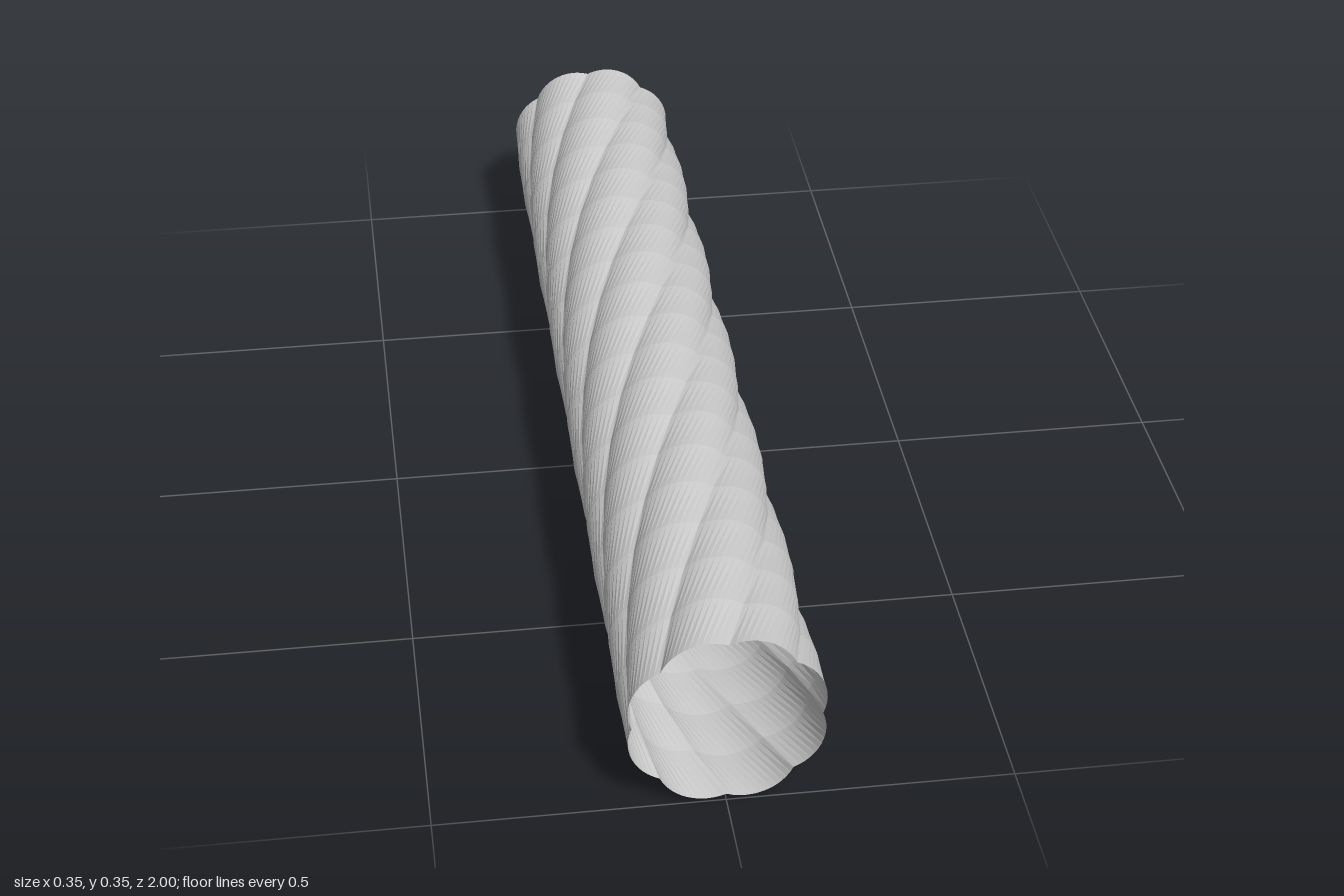
import * as THREE from 'three';

const LOBES = 8;
const OUTER = 0.174; // radius at the crest of a lobe
const LOBE_CENTRE = 0.086; // distance of each lobe's arc centre from the axis
const LOBE_RADIUS = OUTER - LOBE_CENTRE;
const TWIST = THREE.MathUtils.degToRad(267); // total turn along the length

// Scalloped cross-section: outline of circles set around the axis, grooves at multiples of the pitch
function scallopRadius(angle) {
  const pitch = (2 * Math.PI) / LOBES;
  const turn = angle / pitch;
  const phi = (turn - Math.floor(turn) - 0.5) * pitch;
  const s = LOBE_CENTRE * Math.sin(phi);
  return LOBE_CENTRE * Math.cos(phi) + Math.sqrt(LOBE_RADIUS ** 2 - s * s);
}

export function createModel() {
  const group = new THREE.Group();
  group.name = 'twistedTube';

  // Open tube along z, each ring reshaped to the scallop and turned with z
  const geometry = new THREE.CylinderGeometry(1, 1, 2, LOBES * 12, 18, true);
  geometry.rotateX(Math.PI / 2);
  const p = geometry.attributes.position;
  for (let i = 0; i < p.count; i++) {
    const z = p.getZ(i);
    const angle = Math.atan2(p.getY(i), p.getX(i));
    const r = scallopRadius(angle);
    const turned = angle + (TWIST * (z - 1)) / 2;
    p.setXY(i, r * Math.cos(turned), r * Math.sin(turned));
  }
  geometry.computeVertexNormals();

  const material = new THREE.MeshStandardMaterial({
    color: 0xcccccc,
    flatShading: true,
    side: THREE.DoubleSide,
  });
  const tube = new THREE.Mesh(geometry, material);
  tube.name = 'flutedTubeWall';
  tube.position.y = OUTER;
  group.add(tube);
  return group;
}
